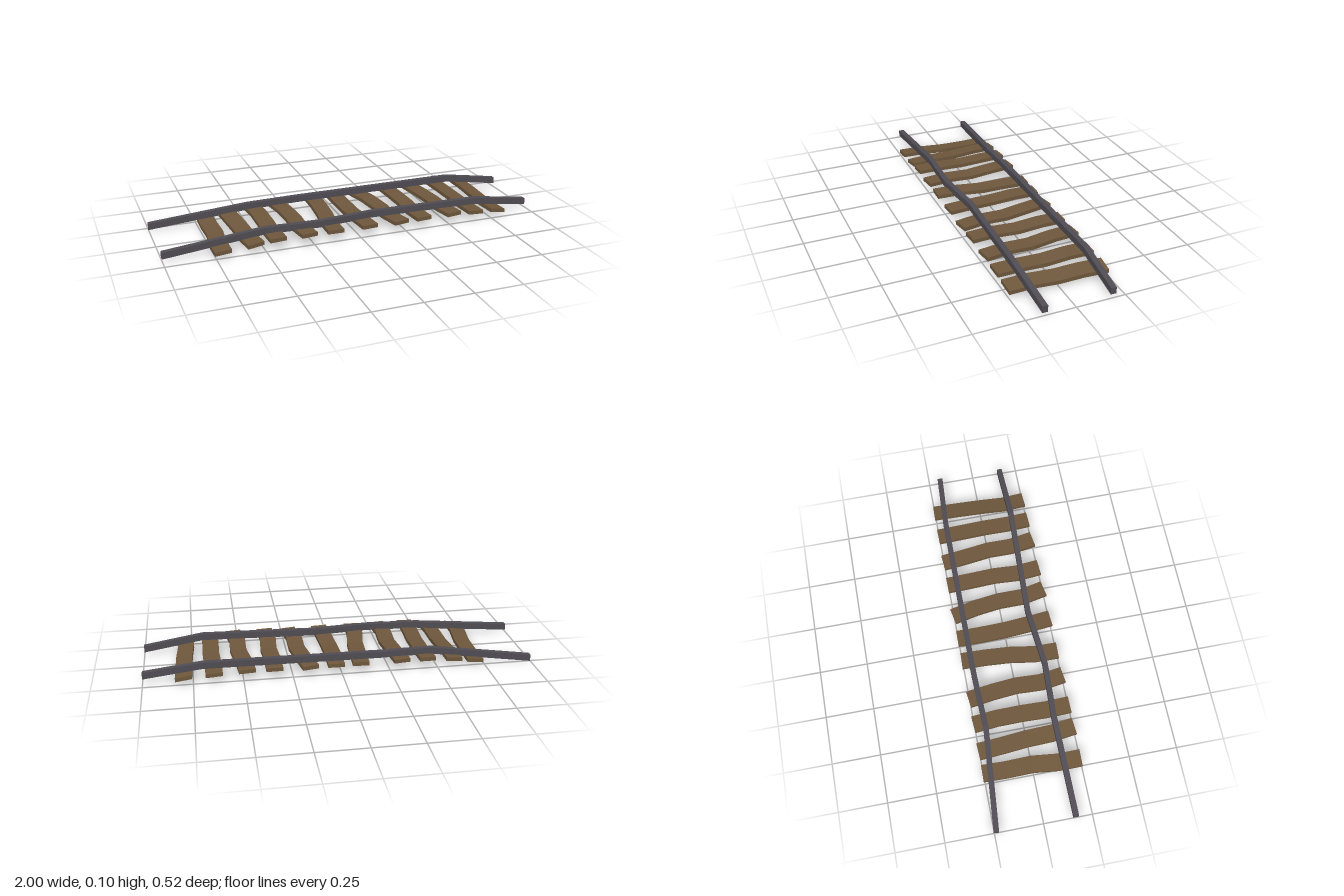
import * as THREE from 'three';

const wood = new THREE.MeshStandardMaterial({ color: 0x6f583d, flatShading: true });
wood.name = 'wood';
const iron = new THREE.MeshStandardMaterial({ color: 0x504d54, flatShading: true });
iron.name = 'iron';

// Sweep a rectangular bar along points; slope tilts its cross-section sideways
function bar(name, points, width, height, material, slope = 0) {
  const path = points.map((p) => new THREE.Vector3(...p));
  const rings = path.map((p, i) => {
    const a = path[Math.max(i - 1, 0)];
    const b = path[Math.min(i + 1, path.length - 1)];
    const t = b.clone().sub(a).setY(0).normalize();
    const side = new THREE.Vector3(t.z, 0, -t.x);
    return [[-1, -1], [1, -1], [1, 1], [-1, 1]].map(([u, v]) => {
      const c = p.clone().addScaledVector(side, u * width / 2);
      c.y += v * height / 2 + u * slope * width / 2;
      return c;
    });
  });
  const out = [];
  const quad = (a, b, c, d) => [a, b, c, a, c, d].forEach((v) => out.push(v.x, v.y, v.z));
  for (let i = 0; i < rings.length - 1; i++) {
    for (let k = 0; k < 4; k++) {
      const j = (k + 1) % 4;
      quad(rings[i][k], rings[i][j], rings[i + 1][j], rings[i + 1][k]);
    }
  }
  const first = rings[0], last = rings[rings.length - 1];
  quad(first[3], first[2], first[1], first[0]);
  quad(last[0], last[1], last[2], last[3]);
  const geometry = new THREE.BufferGeometry();
  geometry.setAttribute('position', new THREE.Float32BufferAttribute(out, 3));
  geometry.computeVertexNormals();
  const mesh = new THREE.Mesh(geometry, material);
  mesh.name = name;
  return mesh;
}

export function createModel() {
  const group = new THREE.Group();
  group.name = 'railTrack';

  // Bent rails
  group.add(bar('frontRail', [
    [-1, 0.028, 0.165], [-0.48, 0.078, 0.157], [-0.2, 0.078, 0.17],
    [0.1, 0.079, 0.14], [0.69, 0.082, 0.163], [1, 0.035, 0.155],
  ], 0.028, 0.034, iron));
  group.add(bar('backRail', [
    [-1, 0.019, -0.24], [-0.48, 0.078, -0.195], [-0.2, 0.079, -0.205],
    [0.7, 0.083, -0.203], [1, 0.04, -0.187],
  ], 0.028, 0.034, iron));

  // Warped planks: x at each station from back to front, height, sideways slope
  const stations = [-0.255, -0.13, 0, 0.13, 0.252];
  const warp = [0, 0.003, -0.001, 0.002, 0.004];
  const planks = [
    [[-0.7, -0.702, -0.7, -0.715, -0.715], 0.028, 0.1],
    [[-0.588, -0.58, -0.568, -0.565, -0.55], 0.042, 0.1],
    [[-0.447, -0.437, -0.435, -0.44, -0.437], 0.053, 0.04],
    [[-0.312, -0.295, -0.283, -0.29, -0.273], 0.053, 0],
    [[-0.097, -0.102, -0.11, -0.132, -0.135], 0.052, 0],
    [[0.03, 0.028, 0.032, 0.04, 0.05], 0.052, 0],
    [[0.16, 0.185, 0.203, 0.202, 0.226], 0.05, 0],
    [[0.343, 0.345, 0.352, 0.343, 0.353], 0.053, 0],
    [[0.48, 0.492, 0.51, 0.508, 0.527], 0.053, 0],
    [[0.645, 0.647, 0.653, 0.65, 0.655], 0.045, -0.06],
    [[0.797, 0.793, 0.79, 0.78, 0.786], 0.037, -0.15],
  ];
  planks.forEach(([xs, y, slope], n) => {
    const dip = n === 0 ? -1.5 : 1;
    const points = xs.map((x, i) => [x, y + warp[i] * (i === 1 ? dip : 1), stations[i]]);
    group.add(bar(`plank${n + 1}`, points, 0.085, 0.02, wood, slope));
  });

  return group;
}
